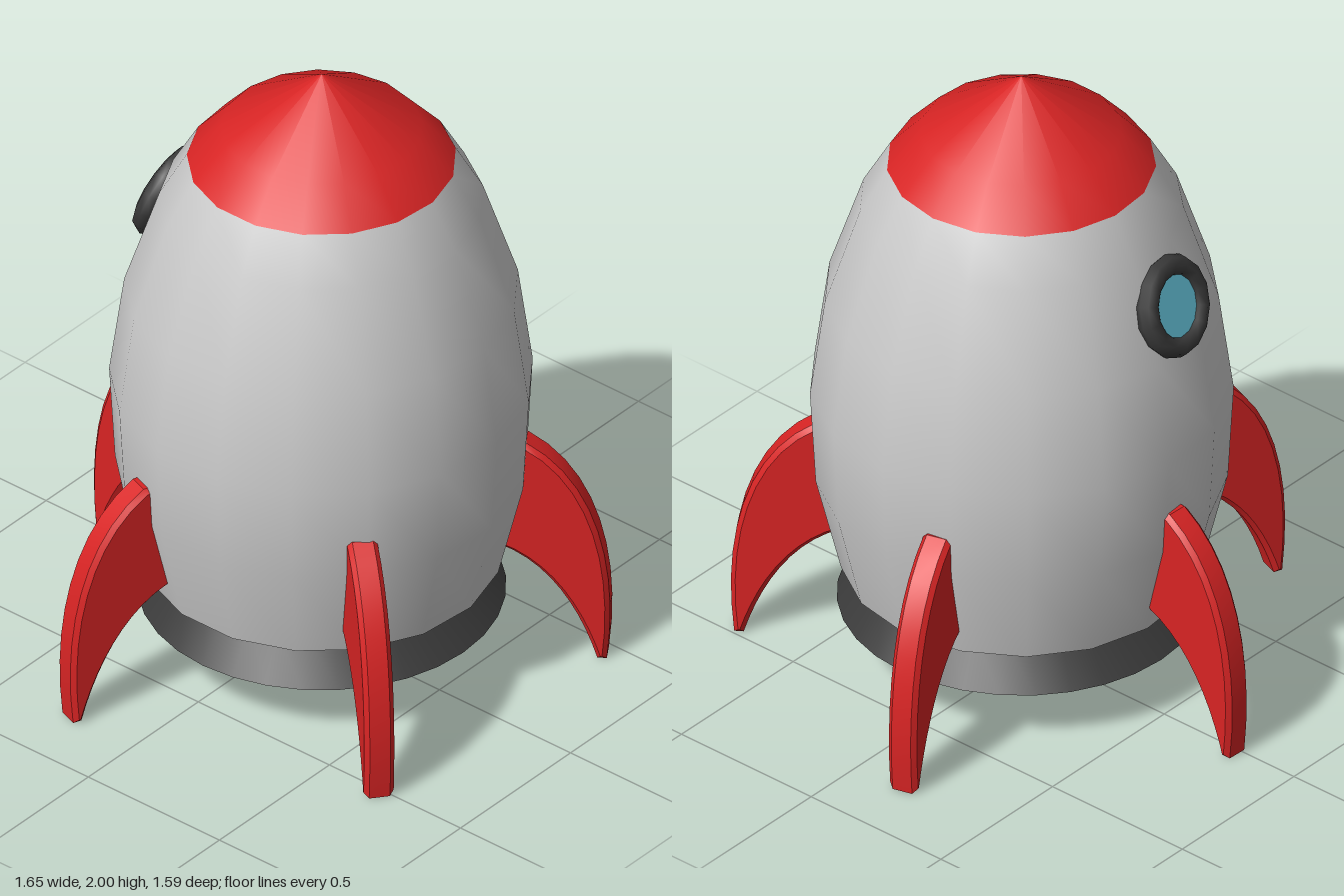
import * as THREE from 'three';
import { toCreasedNormals } from 'three/addons/utils/BufferGeometryUtils.js';

const material = (color) => new THREE.MeshStandardMaterial({ color });
const grey = material(0xcccccc);
const red = material(0xd82424);
const dark = material(0x3a3a3a);
const blue = material(0x66c4da);

const AXIS = { x: -0.007, z: 0.057 };

function part(name, geometry, mat) {
  const mesh = new THREE.Mesh(geometry, mat);
  mesh.name = name;
  return mesh;
}

// Profile points are [radius, height], listed from bottom to top.
function lathe(profile, segments) {
  const points = profile.map(([r, y]) => new THREE.Vector2(r, y));
  return new THREE.LatheGeometry(points, segments, Math.PI / 2);
}

// Curved blade drawn as radius against height, then extruded to its thickness.
function finGeometry() {
  const thickness = 0.09, bevel = 0.014;
  const s = new THREE.Shape();
  s.moveTo(0.48, 0.39);
  s.lineTo(0.53, 0.385);
  s.bezierCurveTo(0.68, 0.33, 0.77, 0.17, 0.82, 0);
  s.lineTo(0.848, 0);
  s.bezierCurveTo(0.885, 0.32, 0.82, 0.63, 0.61, 0.75);
  s.lineTo(0.55, 0.75);
  s.closePath();
  const g = new THREE.ExtrudeGeometry(s, {
    depth: thickness - 2 * bevel, curveSegments: 10,
    bevelEnabled: true, bevelThickness: bevel, bevelSize: bevel, bevelOffset: -bevel, bevelSegments: 1,
  });
  g.translate(0, 0, bevel - thickness / 2);
  return toCreasedNormals(g, 0.5);
}

export function createModel() {
  const model = new THREE.Group();
  model.name = 'rocket';

  // Hull and nose share the same 17-sided outline.
  const hull = new THREE.Group();
  hull.name = 'hull';
  hull.position.set(AXIS.x, 0, AXIS.z);
  hull.add(part('body', lathe([[0.53, 0.31], [0.605, 0.62], [0.622, 0.93], [0.578, 1.25], [0.475, 1.56], [0.395, 1.7]], 17), grey));
  hull.add(part('noseCone', lathe([[0.395, 1.7], [0.295, 1.81], [0, 2]], 17), red));
  hull.add(part('bodyFloor', lathe([[0, 0.31], [0.53, 0.31]], 17), grey));

  // Flared hollow nozzle.
  const nozzle = lathe([[0.35, 0.31], [0.43, 0.18], [0.54, 0.18], [0.435, 0.312]], 32);
  hull.add(part('nozzle', toCreasedNormals(nozzle.toNonIndexed(), 0.6), dark));
  model.add(hull);

  // Five fins evenly spaced around the hull.
  const fins = new THREE.Group();
  fins.name = 'fins';
  fins.position.set(-0.01, 0, 0.05);
  const finGeo = finGeometry();
  for (let i = 0; i < 5; i++) {
    const fin = part('fin', finGeo, red);
    fin.rotation.y = -THREE.MathUtils.degToRad(-16 + 72 * i);
    fins.add(fin);
  }
  model.add(fins);

  // Porthole on the back, tilted to follow the hull.
  const porthole = new THREE.Group();
  porthole.name = 'porthole';
  const ring = new THREE.TorusGeometry(0.122, 0.034, 8, 14);
  porthole.add(part('portholeRing', ring, dark));
  const glass = new THREE.CylinderGeometry(0.115, 0.115, 0.03, 14);
  glass.rotateX(Math.PI / 2);
  porthole.add(part('portholeGlass', glass, blue));
  porthole.position.set(-0.073, 1.388, -0.47);
  porthole.lookAt(porthole.position.clone().add(new THREE.Vector3(-0.12, 0.33, -0.95)));
  model.add(porthole);

  return model;
}
